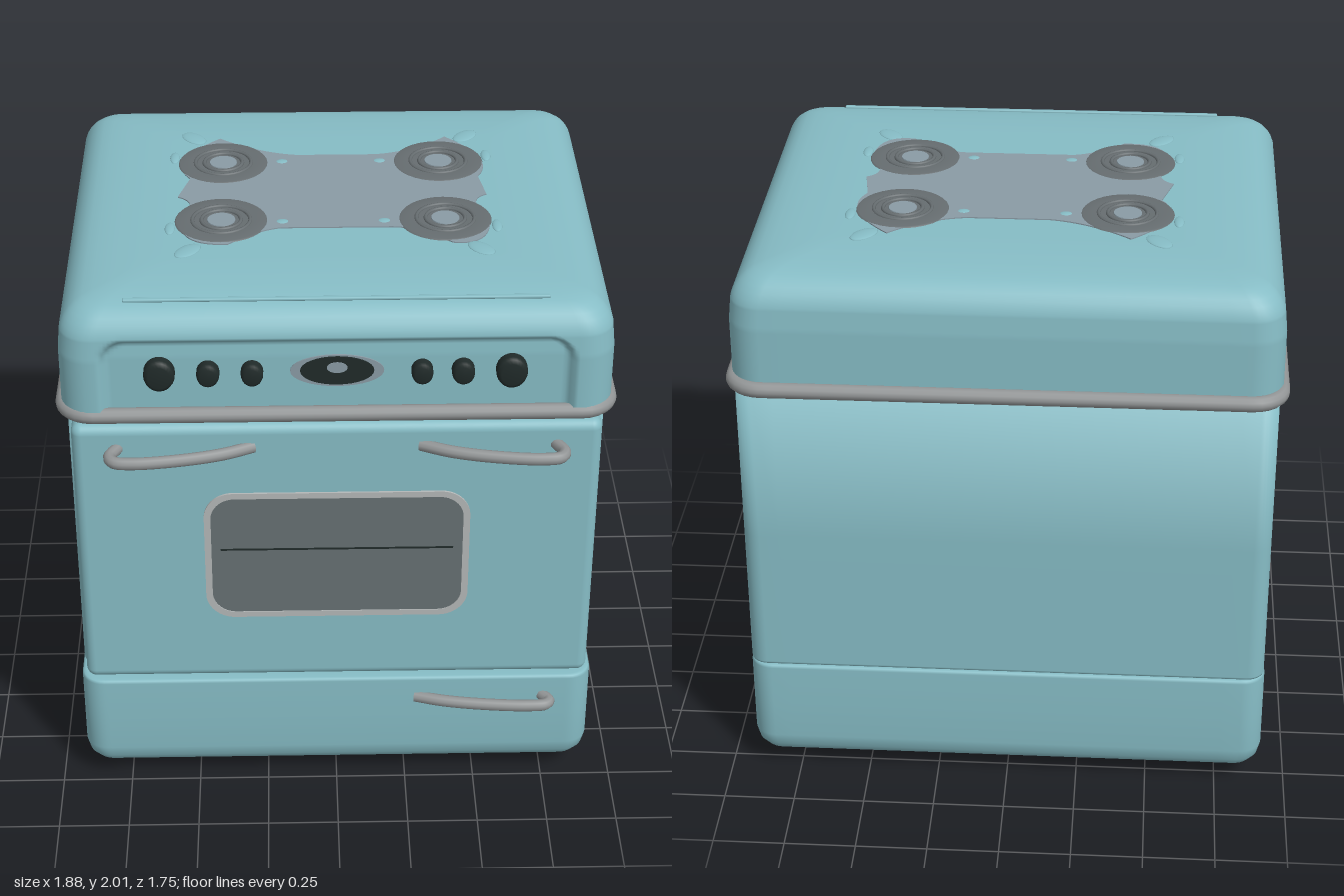
import * as THREE from 'three';
import { RoundedBoxGeometry } from 'three/addons/geometries/RoundedBoxGeometry.js';

const mat = (name, color) => {
  const m = new THREE.MeshStandardMaterial({ color });
  m.name = name;
  return m;
};

// Rounded-rectangle ring, evenly split so that every ring has the same point count
function ringPoints(hw, zb, zf, r) {
  const pts = [];
  const corners = [[hw - r, zf - r, -90], [hw - r, zb + r, 0], [-hw + r, zb + r, 90], [-hw + r, zf - r, 180]];
  const splits = [16, 24, 16, 120];
  corners.forEach(([cx, cz, a0], i) => {
    for (let k = 0; k <= 8; k++) {
      const a = THREE.MathUtils.degToRad(a0 + k * 11.25);
      pts.push([cx + r * Math.cos(a), cz - r * Math.sin(a)]);
    }
    const [nx, nz, na] = corners[(i + 1) % 4];
    const b = THREE.MathUtils.degToRad(na);
    const from = pts[pts.length - 1], to = [nx + r * Math.cos(b), nz - r * Math.sin(b)];
    for (let k = 1; k < splits[i]; k++) {
      const t = k / splits[i];
      pts.push([from[0] + (to[0] - from[0]) * t, from[1] + (to[1] - from[1]) * t]);
    }
  });
  return pts;
}

// Shell lofted through [height, inset] pairs, closed at both ends
function loft(profile, { hw, zb, zf, r }, move) {
  const pos = [], idx = [];
  let n = 0;
  for (const [y, inset] of profile) {
    const pts = ringPoints(hw - inset, zb + inset, zf - inset, Math.max(r - inset * 0.4, 0.05));
    n = pts.length;
    for (const [x, z] of pts) pos.push(x, y, move ? move(x, y, z) : z);
  }
  for (let k = 0; k < profile.length - 1; k++) for (let j = 0; j < n; j++) {
    const a = k * n + j, b = k * n + (j + 1) % n;
    idx.push(a, b, a + n, b, b + n, a + n);
  }
  const last = (profile.length - 1) * n, c = pos.length / 3;
  pos.push(0, profile[0][0], (zb + zf) / 2, 0, profile.at(-1)[0], (zb + zf) / 2);
  for (let j = 0; j < n; j++) {
    const q = (j + 1) % n;
    idx.push(c, q, j, c + 1, last + j, last + q);
  }
  const g = new THREE.BufferGeometry();
  g.setAttribute('position', new THREE.Float32BufferAttribute(pos, 3));
  g.setIndex(idx);
  g.computeVertexNormals();
  return g;
}

// Rounded rectangle outline centred on the origin
function roundedRect(w, h, r, Type = THREE.Shape) {
  const s = new Type();
  s.absarc(w - r, h - r, r, 0, Math.PI / 2);
  s.absarc(-w + r, h - r, r, Math.PI / 2, Math.PI);
  s.absarc(-w + r, -h + r, r, Math.PI, Math.PI * 1.5);
  s.absarc(w - r, -h + r, r, Math.PI * 1.5, Math.PI * 2);
  s.closePath();
  return s;
}
const plate = (shape, depth) => new THREE.ExtrudeGeometry(shape, { depth, bevelEnabled: false, curveSegments: 16 });

export function createModel() {
  const group = new THREE.Group();
  const enamel = mat('teal enamel', 0x86bcc5);
  const chrome = mat('brushed metal', 0x929596);
  const pale = mat('pale metal', 0xb4b8b8);
  const glass = mat('smoked glass', 0x667073);
  const black = mat('black plastic', 0x202a29);
  const hob = mat('cooktop grey', 0x8a9ba5);
  const iron = mat('burner iron', 0x666d70);
  const add = (name, geo, material, x = 0, y = 0, z = 0) => {
    const m = new THREE.Mesh(geo, material);
    m.name = name;
    m.position.set(x, y, z);
    group.add(m);
    return m;
  };

  // Drawer base and oven body, with a thin groove between them
  add('drawerBase', loft([[0.05, 0.15], [0.05, 0.125], [0.053, 0.1], [0.065, 0.06], [0.085, 0.03], [0.115, 0.01],
    [0.16, 0], [0.3, 0], [0.452, 0], [0.46, 0.005], [0.463, 0.014], [0.463, 0.04]],
  { hw: 0.912, zb: -0.84, zf: 0.76, r: 0.08 }), enamel);
  add('ovenBody', loft([[0.44, 0.014], [0.466, 0.014], [0.472, 0.002], [0.48, 0], [1, 0], [1.6, 0]],
    { hw: 0.908, zb: -0.838, zf: 0.67, r: 0.06 }), enamel);

  // Rounded hood with a control panel pressed into its front
  const hoodProfile = [[1.575, 0.02], [1.575, 0]];
  for (let y = 1.59; y < 1.885; y += 0.01) hoodProfile.push([y, Math.max(0, y - 1.8) * 0.1]);
  hoodProfile.push([1.9, 0.015], [1.92, 0.026], [1.94, 0.042], [1.956, 0.062], [1.967, 0.085], [1.976, 0.12],
    [1.983, 0.17], [1.989, 0.24], [1.992, 0.32], [1.992, 0.36]);
  const pressPanel = (x, y, z) => {
    if (z < 0.6 || y > 1.9) return z;
    const r = 0.09, dx = Math.abs(x) - 0.785 + r, dy = y - 1.875 + r;
    const d = Math.hypot(Math.max(dx, 0), Math.max(dy, 0)) + Math.min(Math.max(dx, dy), 0) - r;
    return z - 0.03 * (1 - THREE.MathUtils.smoothstep(d, -0.024, 0));
  };
  add('hood', loft(hoodProfile, { hw: 0.92, zb: -0.845, zf: 0.772, r: 0.11 }, pressPanel), enamel);
  add('hoodRidge', new RoundedBoxGeometry(1.4, 0.012, 0.018, 2, 0.005), enamel, 0, 1.975, 0.67);

  // Metal band round the body
  const bandPath = new THREE.CatmullRomCurve3(ringPoints(0.914, -0.852, 0.756, 0.1)
    .map(([x, z]) => new THREE.Vector3(x, 1.585, z)), true);
  add('trimBand', new THREE.TubeGeometry(bandPath, 260, 0.027, 12, true), chrome);

  // Oven door with framed window and rack line
  add('ovenDoor', new RoundedBoxGeometry(1.78, 1.06, 0.14, 6, 0.035), enamel, 0, 1.01, 0.69);
  const frame = roundedRect(0.455, 0.26, 0.1);
  frame.holes.push(roundedRect(0.432, 0.238, 0.082, THREE.Path));
  add('windowFrame', plate(frame, 0.012), pale, 0, 1.012, 0.755);
  add('windowGlass', plate(roundedRect(0.434, 0.24, 0.083), 0.006), glass, 0, 1.012, 0.758);
  add('ovenRack', new THREE.BoxGeometry(0.8, 0.006, 0.004), black, 0, 1.04, 0.765);

  // Curved handles, one hooked end and one swept end
  const handle = (name, side, y, reach) => {
    const pts = [[0.28, -0.01], [0.38, 0.035], [0.52, 0.07], [0.68, 0.088], [0.745, 0.078], [0.76, 0.045], [0.735, -0.01]]
      .map(([x, z]) => new THREE.Vector3(side * x, 0, z * reach));
    add(name, new THREE.TubeGeometry(new THREE.CatmullRomCurve3(pts), 48, 0.021, 10), chrome, 0, y, 0.76);
  };
  handle('doorHandleLeft', 1, 1.453, 1);
  handle('doorHandleRight', -1, 1.453, 1);
  handle('drawerHandle', 1, 0.377, 0.65);

  // Control knobs
  for (const [x, r] of [[-0.585, 0.052], [-0.425, 0.038], [-0.28, 0.037], [0.28, 0.036], [0.415, 0.038], [0.575, 0.052]]) {
    const knob = add('knob', new THREE.LatheGeometry([[0, 0.05], [0.7, 0.05], [0.93, 0.042], [1, 0.03], [1, 0]]
      .reverse().map(([a, h]) => new THREE.Vector2(a * r, h)), 24), black, x, 1.745, 0.738);
    knob.rotation.x = Math.PI / 2;
    knob.scale.z = 1.1;
  }

  // Oval dial in the middle of the panel
  const oval = (rx, ry) => new THREE.Shape().absellipse(0, 0, rx, ry, 0, Math.PI * 2);
  add('dialRim', plate(oval(0.155, 0.06), 0.009), hob, 0, 1.745, 0.738);
  add('dialFace', plate(oval(0.122, 0.053), 0.008), black, 0, 1.747, 0.744);
  add('dialCentre', plate(oval(0.034, 0.02), 0.006), hob, 0, 1.76, 0.749);

  // Cooktop plate with a narrow waist between the burners
  const top = new THREE.Shape();
  top.moveTo(-0.12, -0.34);
  top.lineTo(0.16, -0.34);
  top.quadraticCurveTo(0.3, -0.36, 0.42, -0.48);
  top.quadraticCurveTo(0.6, -0.3, 0.52, -0.16);
  top.lineTo(0.54, -0.02);
  top.quadraticCurveTo(0.46, 0.02, 0.54, 0.14);
  top.quadraticCurveTo(0.54, 0.36, 0.4, 0.33);
  top.quadraticCurveTo(0.3, 0.22, 0.2, 0.215);
  top.lineTo(-0.18, 0.215);
  top.quadraticCurveTo(-0.26, 0.23, -0.36, 0.33);
  top.quadraticCurveTo(-0.54, 0.34, -0.52, 0.14);
  top.quadraticCurveTo(-0.46, 0.02, -0.54, -0.02);
  top.lineTo(-0.5, -0.16);
  top.quadraticCurveTo(-0.6, -0.3, -0.4, -0.48);
  top.quadraticCurveTo(-0.26, -0.36, -0.12, -0.34);
  add('cooktopPlate', plate(top, 0.004), hob, 0, 1.996, 0).rotation.x = Math.PI / 2;

  // Burners: iron bowl, raised ring and pale cap, with enamel grate tips around
  const bowl = [[0.16, 0], [0.155, 0.005], [0.115, 0.007], [0.1, 0.004], [0, 0.004]].map(([x, y]) => new THREE.Vector2(x, y));
  for (const sx of [-1, 1]) for (const [z, sz] of [[-0.28, -1], [0.16, 1]]) {
    const x = sx * 0.385;
    add('burnerBowl', new THREE.LatheGeometry(bowl, 32), iron, x, 1.994, z);
    for (const r of [0.1, 0.068]) {
      const coil = add('burnerRing', new THREE.TorusGeometry(r, 0.007, 8, 32), iron, x, 1.998, z);
      coil.rotation.x = Math.PI / 2;
    }
    add('burnerCap', new THREE.CylinderGeometry(0.048, 0.05, 0.006, 24), hob, x, 1.998, z);
    for (const [dx, dz, a, b] of [[0.11, 0.21, 0.06, 0.035], [0.175, 0.05, 0.018, 0.045], [-0.21, 0.01, 0.026, 0.022]]) {
      const tip = add('grateTip', new THREE.SphereGeometry(1, 16, 8), enamel, x + sx * dx, 1.991, z + sz * dz);
      tip.scale.set(a, 0.008, b);
      if (a > 0.05) tip.rotation.y = -sx * sz * 0.9;
    }
  }

  // Feet
  for (const x of [-0.69, 0.69]) for (const z of [0.51, -0.64])
    add('foot', new THREE.CylinderGeometry(0.043, 0.043, 0.07, 20), black, x, 0.035, z);

  return group;
}
